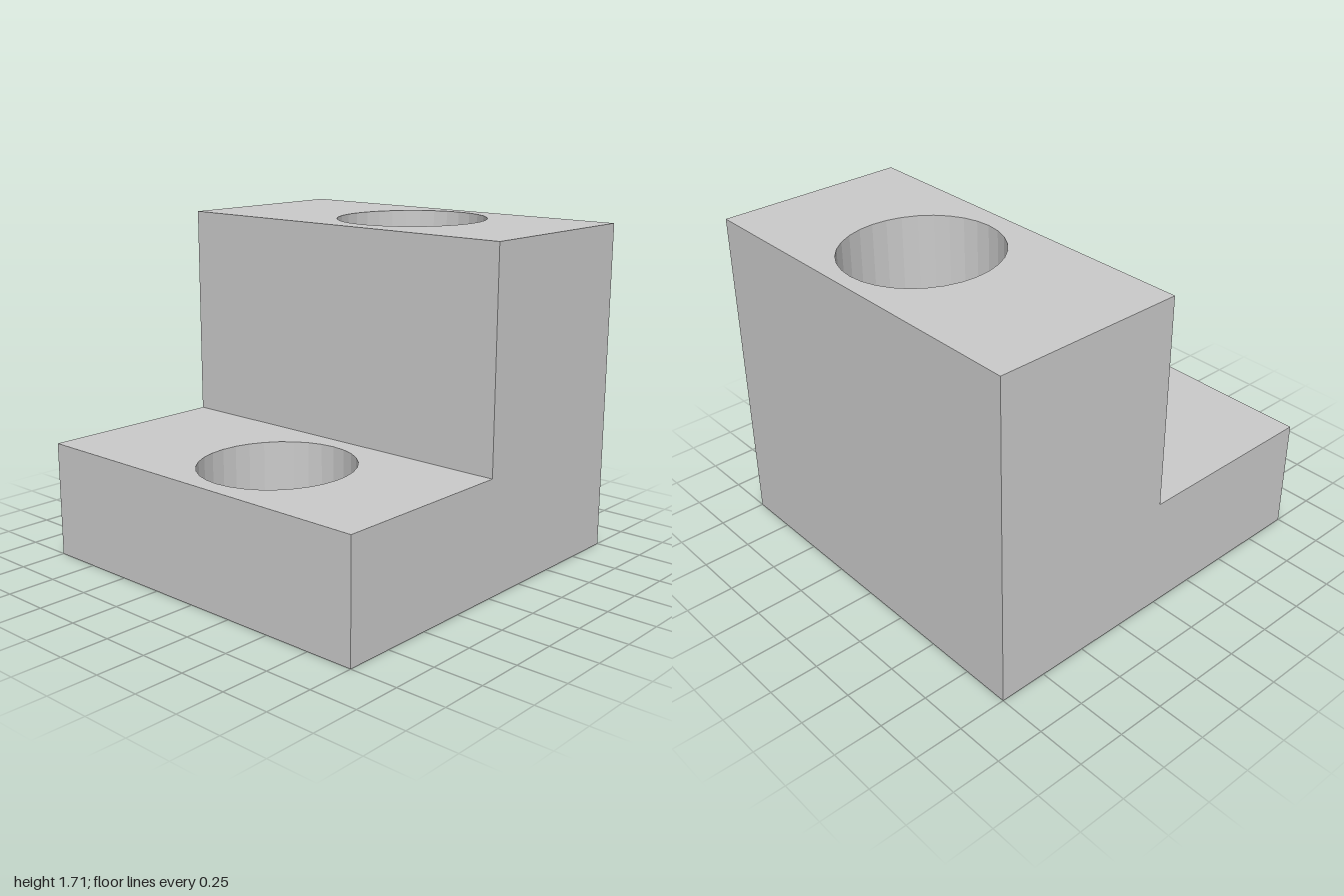
import * as THREE from 'three';

const WIDTH = 2;
const HOLE_X = 0.09, HOLE_RX = 0.382, HOLE_RZ = 0.406;

// Upright block with a vertical oval hole right through it
function boredBlock(name, zBack, zFront, height, holeZ, material) {
  const w = WIDTH / 2;
  // Plan outline, drawn with shape y = -z
  const plan = new THREE.Shape([
    new THREE.Vector2(-w, -zFront),
    new THREE.Vector2(w, -zFront),
    new THREE.Vector2(w, -zBack),
    new THREE.Vector2(-w, -zBack),
  ]);
  const hole = new THREE.Path();
  hole.absellipse(HOLE_X, -holeZ, HOLE_RX, HOLE_RZ, 0, Math.PI * 2, true);
  plan.holes.push(hole);

  // 16 curve segments give a 32-sided bore
  const geometry = new THREE.ExtrudeGeometry(plan, { depth: height, bevelEnabled: false, curveSegments: 16 });
  geometry.rotateX(-Math.PI / 2);
  const mesh = new THREE.Mesh(geometry, material);
  mesh.name = name;
  return mesh;
}

export function createModel() {
  const group = new THREE.Group();
  group.name = 'steppedBlock';
  const material = new THREE.MeshStandardMaterial({ color: 0xcccccc, flatShading: true });

  // Low step in front, tall step behind
  group.add(
    boredBlock('lowStep', 0, 1, 0.6, 0.504, material),
    boredBlock('tallStep', -1, 0, 1.71, -0.515, material),
  );
  return group;
}
